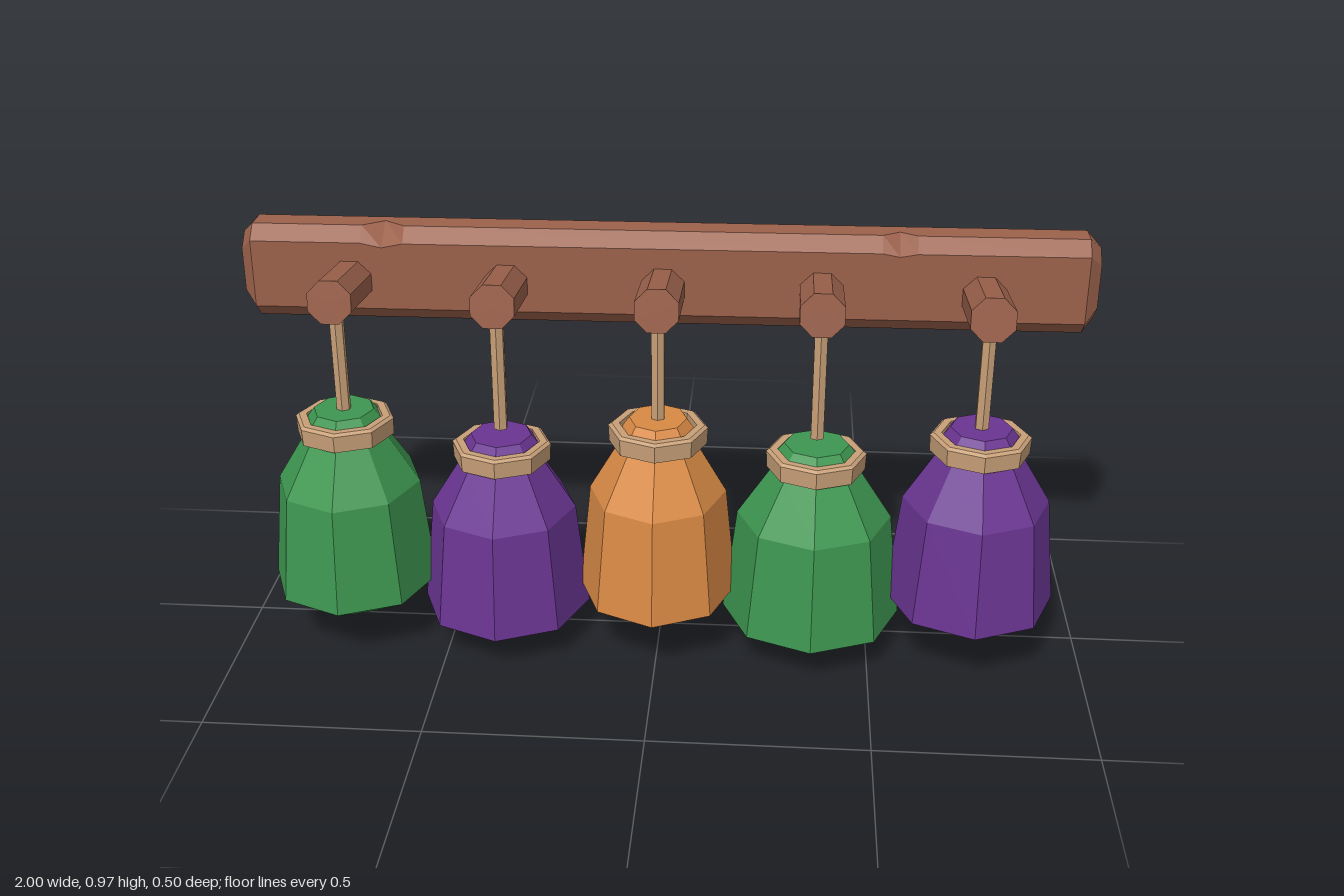
import * as THREE from 'three';

const mat = (name, color, flat = true) => {
  const m = new THREE.MeshStandardMaterial({ color, flatShading: flat });
  m.name = name;
  return m;
};

// Chamfered beam lofted along x; notches deepen the top front chamfer.
function beamGeometry() {
  // x, end inset, notch depth
  const sections = [
    [-1, 0.03, 0], [-0.97, 0, 0], [-0.71, 0, 0], [-0.66, 0, 0.035], [-0.61, 0, 0],
    [0.5, 0, 0], [0.54, 0, 0.025], [0.58, 0, 0], [0.97, 0, 0], [1, 0.03, 0],
  ];
  const c = 0.033;
  const rings = sections.map(([x, inset, notch]) => {
    const lift = 0.004 * x; // the beam hangs very slightly askew
    const t = 0.965 + lift - inset, b = 0.737 + lift + inset;
    const f = -0.115 - inset, k = -0.245 + inset;
    return [
      [k + c, t], [f - c - notch, t], [f, t - c - notch * 0.3], [f, b + c],
      [f - c, b], [k + c, b], [k, b + c], [k, t - c],
    ].map(([z, y]) => new THREE.Vector3(x, y, z));
  });
  const pos = [];
  const tri = (...p) => p.forEach((v) => pos.push(v.x, v.y, v.z));
  for (let i = 0; i < rings.length - 1; i++) {
    for (let j = 0; j < 8; j++) {
      const n = (j + 1) % 8;
      tri(rings[i][j], rings[i][n], rings[i + 1][n]);
      tri(rings[i][j], rings[i + 1][n], rings[i + 1][j]);
    }
  }
  const first = rings[0], last = rings[rings.length - 1];
  for (let j = 1; j < 7; j++) {
    tri(last[0], last[j], last[j + 1]);
    tri(first[0], first[j + 1], first[j]);
  }
  const g = new THREE.BufferGeometry();
  g.setAttribute('position', new THREE.Float32BufferAttribute(pos, 3));
  g.computeVertexNormals();
  return g;
}

const lathe = (points) =>
  new THREE.LatheGeometry(points.map(([r, y]) => new THREE.Vector2(r, y)), 8);

export function createModel() {
  const model = new THREE.Group();
  model.name = 'hangingBells';
  const wood = mat('wood', 0x9b614b);
  const tan = mat('rope', 0xc8a078);
  const green = mat('green', 0x3d9650);
  const purple = mat('purple', 0x6a3592);
  const orange = mat('orange', 0xd98a45);

  const add = (parent, name, geometry, material) => {
    const mesh = new THREE.Mesh(geometry, material);
    mesh.name = name;
    parent.add(mesh);
    return mesh;
  };

  add(model, 'beam', beamGeometry(), wood);

  // Shared shapes for every hanger
  const pegGeo = new THREE.CylinderGeometry(0.054, 0.054, 0.25, 8);
  pegGeo.rotateY(Math.PI / 8);
  const stringGeo = new THREE.CylinderGeometry(0.017, 0.017, 0.29, 6);
  const bellGeo = lathe([
    [0, 0.055], [0.062, 0.055], [0.21, 0.14], [0.18, 0.395], [0.1, 0.517],
    [0.092, 0.557], [0.075, 0.578], [0, 0.578],
  ]);
  const collarGeo = lathe([
    [0.096, 0.516], [0.114, 0.516], [0.116, 0.556], [0.108, 0.562], [0.09, 0.562], [0.09, 0.53],
  ]);

  // x, drop, width factor, colour
  const hangers = [
    [-0.738, 0, 0.94, green],
    [-0.37, -0.054, 0.95, purple],
    [-0.003, 0, 0.89, orange],
    [0.364, -0.054, 1, green],
    [0.737, 0, 0.94, purple],
  ];
  for (const [x, drop, width, colour] of hangers) {
    const hanger = new THREE.Group();
    hanger.name = 'hanger';
    hanger.position.x = x;
    model.add(hanger);

    // Peg leans slightly upward toward the front
    const peg = add(hanger, 'peg', pegGeo, wood);
    peg.rotation.x = Math.PI / 2 - 0.13;
    peg.position.set(0, 0.844, -0.033);

    add(hanger, 'string', stringGeo, tan).position.set(0, 0.685, 0.04);

    const bell = add(hanger, 'bell', bellGeo, colour);
    bell.position.set(0, drop, 0.04);
    bell.scale.x = width;
    add(hanger, 'collar', collarGeo, tan).position.set(0, drop, 0.04);
  }
  return model;
}
